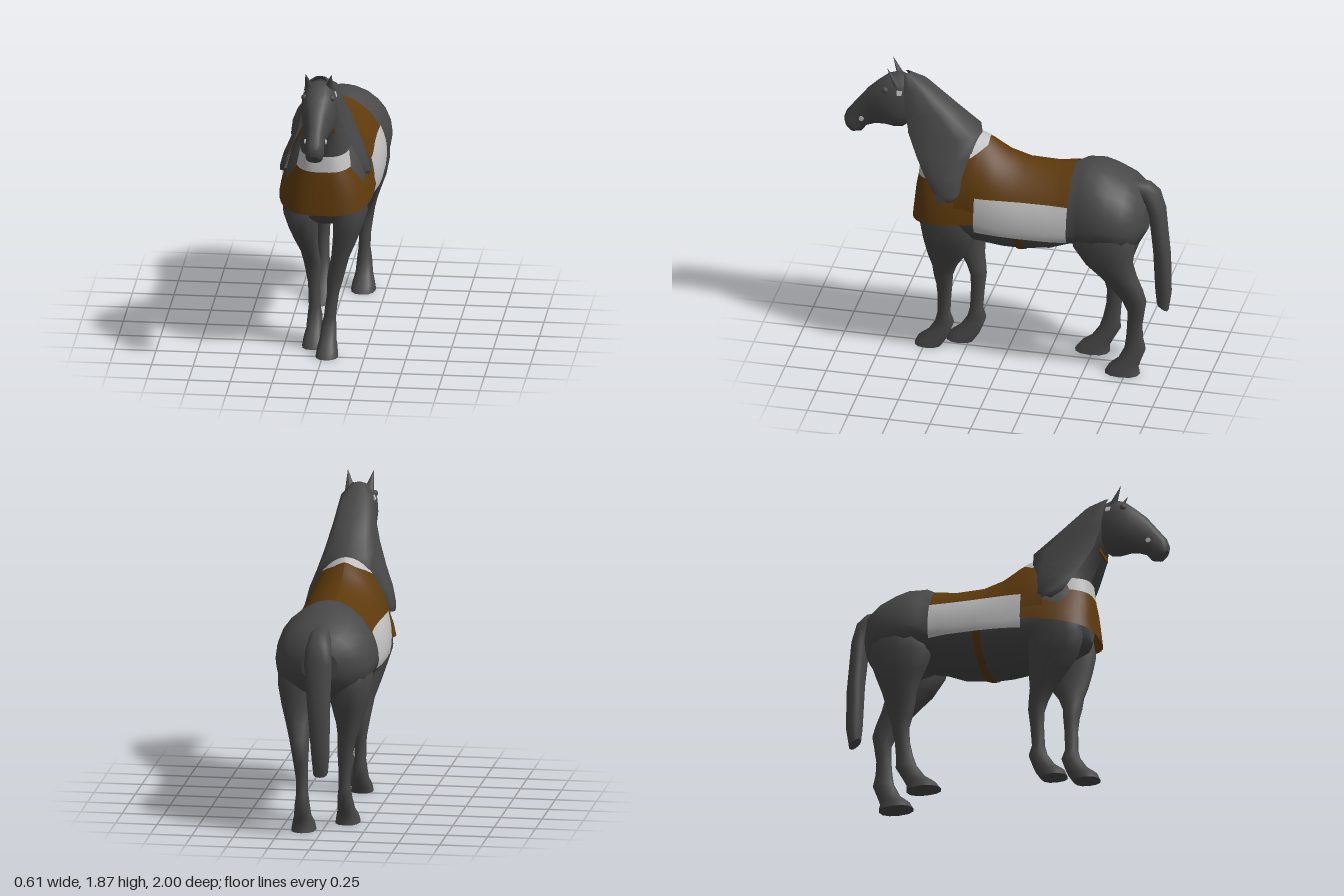
import * as THREE from 'three';

const paint = (name, color) => {
  const m = new THREE.MeshStandardMaterial({ color, side: THREE.DoubleSide });
  m.name = name;
  return m;
};

// Smooth skin over rows of points; optional wrap-around and flat end caps.
function skin(rows, closed = false, caps = false) {
  const n = rows[0].length, pos = rows.flat(2), index = [];
  const cols = closed ? n : n - 1;
  for (let r = 0; r < rows.length - 1; r++) {
    for (let i = 0; i < cols; i++) {
      const j = (i + 1) % n, a = r * n + i, b = r * n + j;
      index.push(a, a + n, b, b, a + n, b + n);
    }
  }
  if (caps) {
    [[rows[0], false], [rows[rows.length - 1], true]].forEach(([ring, flip]) => {
      const base = pos.length / 3;
      ring.forEach(p => pos.push(...p));
      pos.push(...[0, 1, 2].map(k => ring.reduce((s, p) => s + p[k], 0) / n));
      for (let i = 0; i < n; i++) {
        const a = base + i, b = base + (i + 1) % n;
        index.push(base + n, flip ? b : a, flip ? a : b);
      }
    });
  }
  const g = new THREE.BufferGeometry();
  g.setAttribute('position', new THREE.Float32BufferAttribute(pos, 3));
  g.setIndex(index);
  g.computeVertexNormals();
  return g;
}

const pow = (v, e) => Math.sign(v) * Math.abs(v) ** e;

// Loft of rounded sections: [z1, y1, z2, y2, halfWidth, x]
function loft(rows, sides = 12, e = 0.85) {
  return skin(rows.map(([z1, y1, z2, y2, w, x = 0]) =>
    Array.from({ length: sides }, (_, i) => {
      const a = i / sides * Math.PI * 2, c = pow(Math.cos(a), e), s = pow(Math.sin(a), e);
      return [x + w * s, (y1 + y2) / 2 + (y1 - y2) / 2 * c, (z1 + z2) / 2 + (z1 - z2) / 2 * c];
    })), true, true);
}

// Trunk sections: z, top, widest height, bottom, half width, upper sharpness
const TRUNK = [
  [0.52, 1.15, 1.02, 0.90, 0.06, 1], [0.48, 1.25, 1.03, 0.85, 0.17, 1], [0.38, 1.36, 1.02, 0.80, 0.24, 1.2],
  [0.20, 1.47, 1.00, 0.77, 0.255, 1.35], [0.10, 1.43, 0.98, 0.765, 0.27, 1.35], [0.00, 1.355, 0.97, 0.755, 0.28, 1.25],
  [-0.12, 1.31, 0.97, 0.755, 0.284, 1.2], [-0.30, 1.305, 0.97, 0.785, 0.282, 1.2], [-0.42, 1.325, 0.98, 0.84, 0.275, 1.15],
  [-0.48, 1.355, 1.01, 0.84, 0.285, 1.05], [-0.57, 1.35, 1.03, 0.80, 0.304, 1], [-0.65, 1.325, 1.03, 0.80, 0.298, 1],
  [-0.75, 1.275, 1.02, 0.82, 0.28, 0.95], [-0.82, 1.225, 1.02, 0.86, 0.22, 0.9], [-0.86, 1.13, 1.03, 0.93, 0.11, 0.9],
];

function trunkAt(z) {
  let i = 0;
  while (i < TRUNK.length - 2 && z < TRUNK[i + 1][0]) i++;
  const a = TRUNK[i], b = TRUNK[i + 1], f = (z - a[0]) / (b[0] - a[0]);
  return a.map((v, k) => v + (b[k] - v) * f);
}

function trunkPoint(z, t, off = 0) {
  const [, top, mid, bot, w, e] = trunkAt(z), s = Math.sin(t), c = Math.cos(t);
  const y = s > 0 ? mid + (top + off - mid) * s : mid + (mid - bot + off) * s;
  return [(w + off) * pow(c, s > 0 ? e : 1), y, z];
}

// Angle on the trunk where the surface reaches height y
function angleAt(z, y) {
  const [, top, mid, bot] = trunkAt(z);
  return Math.asin(THREE.MathUtils.clamp(y > mid ? (y - mid) / (top - mid) : (y - mid) / (mid - bot), -1, 1));
}

// Cloth lying on one side of the trunk between two heights; slope tilts its lower edge
function cloth(zs, low, high, off, side, slope = 0) {
  return skin(zs.map(z => Array.from({ length: 11 }, (_, i) => {
    const t0 = angleAt(z, low + slope * (z - zs[0])), t1 = angleAt(z, high);
    const p = trunkPoint(z, t0 + (t1 - t0) * i / 10, off);
    return [p[0] * side, p[1], p[2]];
  })));
}

// Chest cloth: each row [y, halfWidth, frontZ, rise towards the flank]
function chestWrap(rows) {
  return skin(rows.map(([y, w, zf, rise]) => Array.from({ length: 25 }, (_, i) => {
    const a = i / 24 * Math.PI, s = Math.sin(a) ** (2 / 3);
    return [w * pow(Math.cos(a), 2 / 3), y + rise * (1 - s), 0.15 + (zf - 0.15) * s];
  })));
}

// Leg rows: [frontZ, backZ, y, x, halfWidth]; the lower leg swings along z,
// the foot reaches further by `reach` and tucks towards the middle by `tuck`
function leg(rows, side, swing, reach, tuck) {
  return loft(rows.map(([zf, zb, y, x, w]) => {
    const d = swing * THREE.MathUtils.smoothstep(0.85 - y, 0, 0.4) + reach * Math.max(0, 1 - y / 0.3);
    const inward = tuck * THREE.MathUtils.clamp((0.75 - y) / 0.6, 0, 1);
    return [zf + d, y, zb + d, y, w, (x - inward) * side];
  }));
}

const FORELEG = [
  [0.49, 0.17, 0.98, 0.14, 0.11], [0.505, 0.16, 0.88, 0.145, 0.11], [0.49, 0.18, 0.78, 0.135, 0.088],
  [0.47, 0.23, 0.68, 0.125, 0.07], [0.445, 0.29, 0.59, 0.115, 0.054], [0.437, 0.32, 0.51, 0.108, 0.052],
  [0.425, 0.325, 0.45, 0.105, 0.048], [0.42, 0.335, 0.36, 0.105, 0.036], [0.425, 0.345, 0.22, 0.108, 0.036],
  [0.44, 0.325, 0.16, 0.11, 0.045], [0.485, 0.35, 0.09, 0.11, 0.05], [0.545, 0.37, 0.045, 0.11, 0.062],
  [0.565, 0.40, 0, 0.11, 0.068],
];
const HINDLEG = [
  [-0.50, -0.76, 1.1, 0.15, 0.10], [-0.45, -0.80, 0.99, 0.16, 0.125],
  [-0.43, -0.815, 0.88, 0.16, 0.125], [-0.51, -0.80, 0.76, 0.155, 0.105],
  [-0.61, -0.825, 0.66, 0.145, 0.08], [-0.68, -0.86, 0.57, 0.135, 0.06], [-0.73, -0.877, 0.50, 0.125, 0.052],
  [-0.76, -0.865, 0.43, 0.12, 0.045], [-0.757, -0.85, 0.33, 0.115, 0.036], [-0.75, -0.855, 0.24, 0.113, 0.036],
  [-0.74, -0.87, 0.17, 0.113, 0.045], [-0.70, -0.84, 0.09, 0.115, 0.053], [-0.645, -0.825, 0.045, 0.115, 0.067],
  [-0.62, -0.835, 0, 0.115, 0.075],
];

export function createModel() {
  const group = new THREE.Group();
  const coat = paint('dark grey coat', 0x484848);
  const brown = paint('brown cloth', 0x5e3a0c);
  const white = paint('white trim', 0xbfbfbf);
  const add = (name, geometry, material) => {
    const mesh = new THREE.Mesh(geometry, material);
    mesh.name = name;
    group.add(mesh);
    return mesh;
  };

  // Trunk
  add('trunk', skin(TRUNK.map(r => Array.from({ length: 24 }, (_, i) =>
    trunkPoint(r[0], i / 24 * Math.PI * 2))), true, true), coat);

  // Neck and head
  add('neck', loft([
    [0.64, 1.50, 0.60, 1.80, 0.08], [0.57, 1.45, 0.45, 1.71, 0.10], [0.515, 1.32, 0.30, 1.59, 0.12],
    [0.49, 1.20, 0.20, 1.50, 0.14], [0.46, 1.05, 0.12, 1.38, 0.18],
  ]), coat);
  add('head', loft([
    [0.61, 1.79, 0.60, 1.49, 0.095], [0.67, 1.81, 0.635, 1.46, 0.105], [0.74, 1.785, 0.68, 1.455, 0.107],
    [0.80, 1.735, 0.75, 1.465, 0.095], [0.86, 1.68, 0.81, 1.455, 0.073], [0.93, 1.59, 0.86, 1.435, 0.056],
    [0.985, 1.52, 0.89, 1.395, 0.057], [1.0, 1.48, 0.94, 1.385, 0.052], [0.995, 1.44, 0.965, 1.40, 0.03],
  ], 16), coat);

  // Mane hanging on both sides of the neck: [y, frontZ, backZ, halfWidth]
  const drape = [[0.88, 1], [1, 0.75], [0.97, 0.3], [0.7, 0.08], [0, 0]];
  const outline = [...drape, ...drape.slice(0, 4).reverse().map(([x, z]) => [-x, z])];
  add('mane', skin([
    [1.815, 0.63, 0.60, 0.03], [1.75, 0.62, 0.49, 0.095], [1.60, 0.605, 0.31, 0.125], [1.47, 0.575, 0.155, 0.158],
    [1.35, 0.52, 0.165, 0.203], [1.25, 0.465, 0.18, 0.245], [1.15, 0.405, 0.20, 0.272], [1.11, 0.33, 0.27, 0.274],
  ].map(([y, zf, zb, w]) => outline.map(([x, z]) => [x * w, y, zb + (zf - zb) * z]))), coat);

  // Tail
  add('tail', loft([
    [-0.77, 1.26, -0.80, 1.15, 0.06], [-0.87, 1.245, -0.83, 1.13, 0.068], [-0.93, 1.19, -0.855, 1.09, 0.08],
    [-0.965, 1.07, -0.87, 1.04, 0.083], [-0.995, 0.74, -0.89, 0.80, 0.068, -0.01],
    [-0.998, 0.50, -0.90, 0.52, 0.055, -0.02], [-0.98, 0.38, -0.91, 0.43, 0.045, -0.02],
  ]), coat);

  // Legs in a walking stance
  add('leftForeleg', leg(FORELEG, 1, 0, 0, 0.085), coat);
  add('rightForeleg', leg(FORELEG, -1, -0.175, 0, 0.035), coat);
  add('leftHindleg', leg(HINDLEG, 1, 0, 0, 0), coat);
  add('rightHindleg', leg(HINDLEG, -1, 0.18, 0.055, 0), coat);

  // Chest cloth with its pale collar, and a strap under the throat
  add('chestCloth', chestWrap([
    [1.18, 0.19, 0.535, 0.03], [1.10, 0.235, 0.548, 0.03], [1.0, 0.268, 0.558, 0.05], [0.915, 0.285, 0.566, 0.07],
  ]), brown);
  add('collar', chestWrap([[1.275, 0.16, 0.525, 0], [1.18, 0.19, 0.536, 0.03]]), white);
  add('throatStrap', new THREE.BoxGeometry(0.17, 0.03, 0.009), brown).position.set(0, 1.465, 0.59);

  const backZ = [0.15, 0.1, 0.05, 0, -0.06, -0.12, -0.21, -0.3, -0.36, -0.42];
  for (const side of [1, -1]) {
    const label = side > 0 ? 'left' : 'right';
    // Blanket, side panels, girth and withers trim
    add(label + 'BackCloth', cloth(backZ, 1.13, 2, 0.008, side), brown);
    add(label + 'ShoulderCloth', cloth([0.28, 0.24, 0.2, 0.15], 1.0, 2, 0.008, side), brown);
    add(label + 'SidePanel', cloth(backZ, 0.93, 1.145, 0.015, side), white);
    add(label + 'Girth', cloth([-0.1, -0.12, -0.145], 0, 0.94, 0.006, side), brown);
    add(label + 'WithersTrim', cloth([0.2, 0.15, 0.105], 1.35, 2, 0.013, side, -0.6), white);

    // Ears
    const ear = add(label + 'Ear', new THREE.ConeGeometry(0.036, 0.15, 8), coat);
    ear.position.set(0.066 * side, 1.805, 0.69);
    ear.rotation.set(0.45, 0, -0.17 * side);
    ear.scale.z = 0.7;

    // Eyes and pale face marks
    const eye = add(label + 'Eye', new THREE.SphereGeometry(0.02, 10, 8), coat);
    eye.position.set(0.082 * side, 1.725, 0.735);
    const brow = add(label + 'BrowMark', new THREE.BoxGeometry(0.009, 0.03, 0.03), white);
    brow.position.set(0.094 * side, 1.72, 0.645);
    brow.rotation.z = 0.35 * side;
    const bit = add(label + 'BitMark', new THREE.CylinderGeometry(0.015, 0.015, 0.009, 10), white);
    bit.position.set(0.062 * side, 1.5, 0.885);
    bit.rotation.z = Math.PI / 2;
  }
  return group;
}
